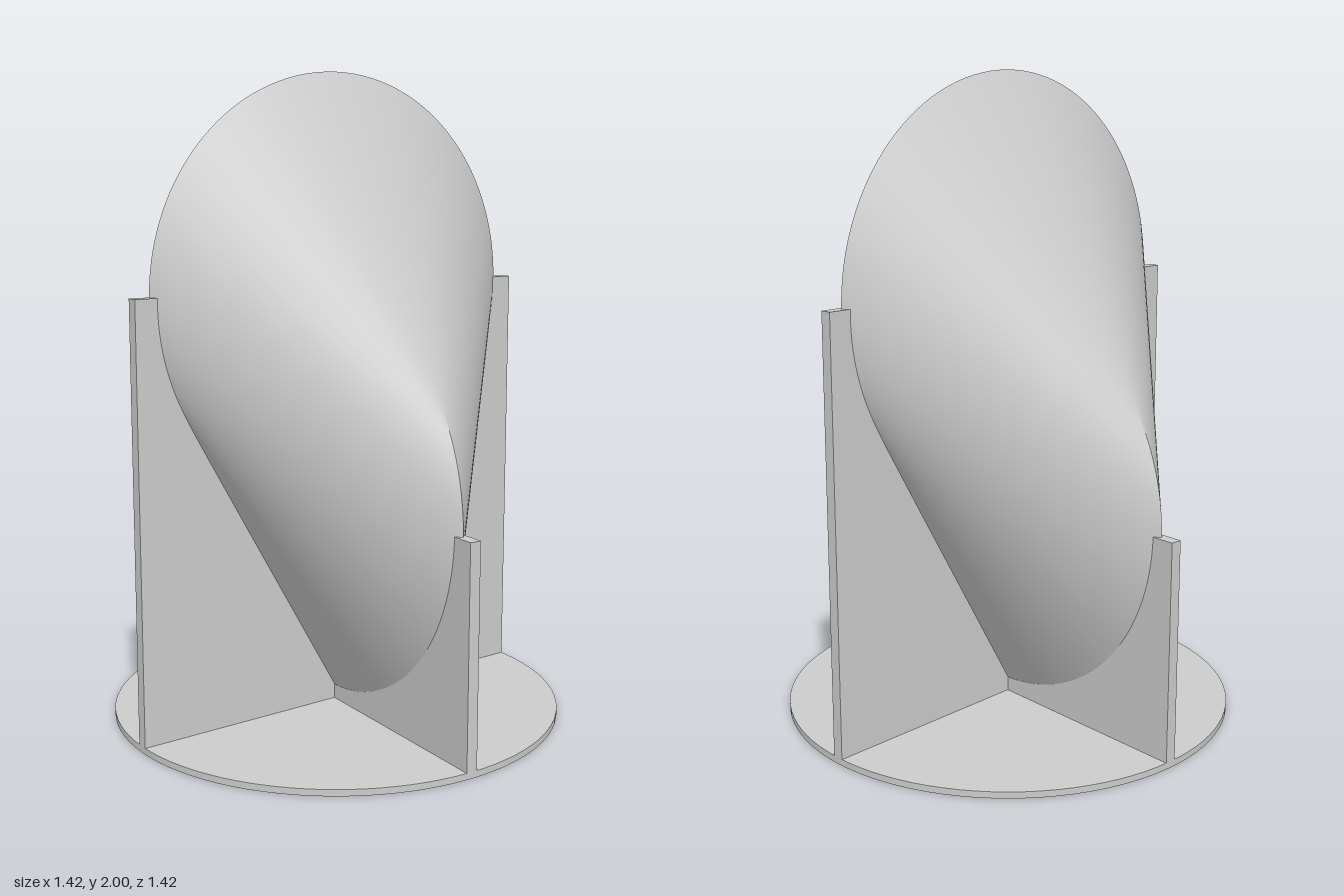
import * as THREE from 'three';

const R = 0.655;          // radius of both generating circles
const UPPER = 1.345;      // centre height of the upright circle facing the front
const LOWER = 0.69;       // centre height of the crossing circle
const TWIST = THREE.MathUtils.degToRad(3); // crossing circle is slightly turned
const BASE_R = 0.71, BASE_H = 0.02, FIN_T = 0.036;

// Half of the two-circle roller: straight rulings joining one circle to the other
function rollerHalf(segments = 120) {
  const pos = [], index = [];
  for (let i = 0; i <= segments; i++) {
    const t = (Math.PI * 2 / 3) * Math.sin((i / segments - 0.5) * Math.PI);
    const c = Math.cos(t);
    const cu = Math.min(1, -c / (1 + c));
    const su = Math.sqrt(1 - cu * cu);
    pos.push(R * Math.sin(t), UPPER + R * c, 0);
    pos.push(-R * su * Math.sin(TWIST), LOWER - R * cu, R * su * Math.cos(TWIST));
    if (i < segments) {
      const a = i * 2;
      index.push(a, a + 1, a + 2, a + 2, a + 1, a + 3);
    }
  }
  const g = new THREE.BufferGeometry();
  g.setAttribute('position', new THREE.Float32BufferAttribute(pos, 3));
  g.setIndex(index);
  g.computeVertexNormals();
  return g;
}

// Upright cradle plate; its inner edge tucks just inside the roller
function finGeometry(centre, endAngle) {
  const inner = R - 0.03;
  const s = new THREE.Shape();
  s.moveTo(0, BASE_H);
  s.lineTo(BASE_R, BASE_H);
  s.lineTo(BASE_R, centre + 0.005);
  s.lineTo(inner, centre + 0.005);
  s.absarc(0, centre, inner, 0, endAngle, true);
  s.lineTo(0, centre + inner / Math.sin(endAngle));
  s.closePath();
  const g = new THREE.ExtrudeGeometry(s, { depth: FIN_T, bevelEnabled: false, curveSegments: 48 });
  return g.translate(0, 0, -FIN_T / 2);
}

export function createModel() {
  const model = new THREE.Group();
  const grey = new THREE.MeshStandardMaterial({ color: 0xcccccc });
  grey.name = 'grey';

  const add = (name, geometry, turn = 0) => {
    const mesh = new THREE.Mesh(geometry, grey);
    mesh.name = name;
    mesh.rotation.y = turn;
    model.add(mesh);
    return mesh;
  };

  // Round base plate
  add('base', new THREE.CylinderGeometry(BASE_R, BASE_R, BASE_H, 96)).position.y = BASE_H / 2;

  // Roller body, two matching halves
  const half = rollerHalf();
  add('rollerFront', half);
  add('rollerBack', half, Math.PI);

  // Tall side fins and short front and back fins
  const tall = finGeometry(UPPER, -Math.PI / 6);
  const short = finGeometry(LOWER, -Math.PI / 2);
  add('leftFin', tall);
  add('rightFin', tall, Math.PI);
  add('frontFin', short, -Math.PI / 2 - TWIST);
  add('backFin', short, Math.PI / 2 - TWIST);

  return model;
}
